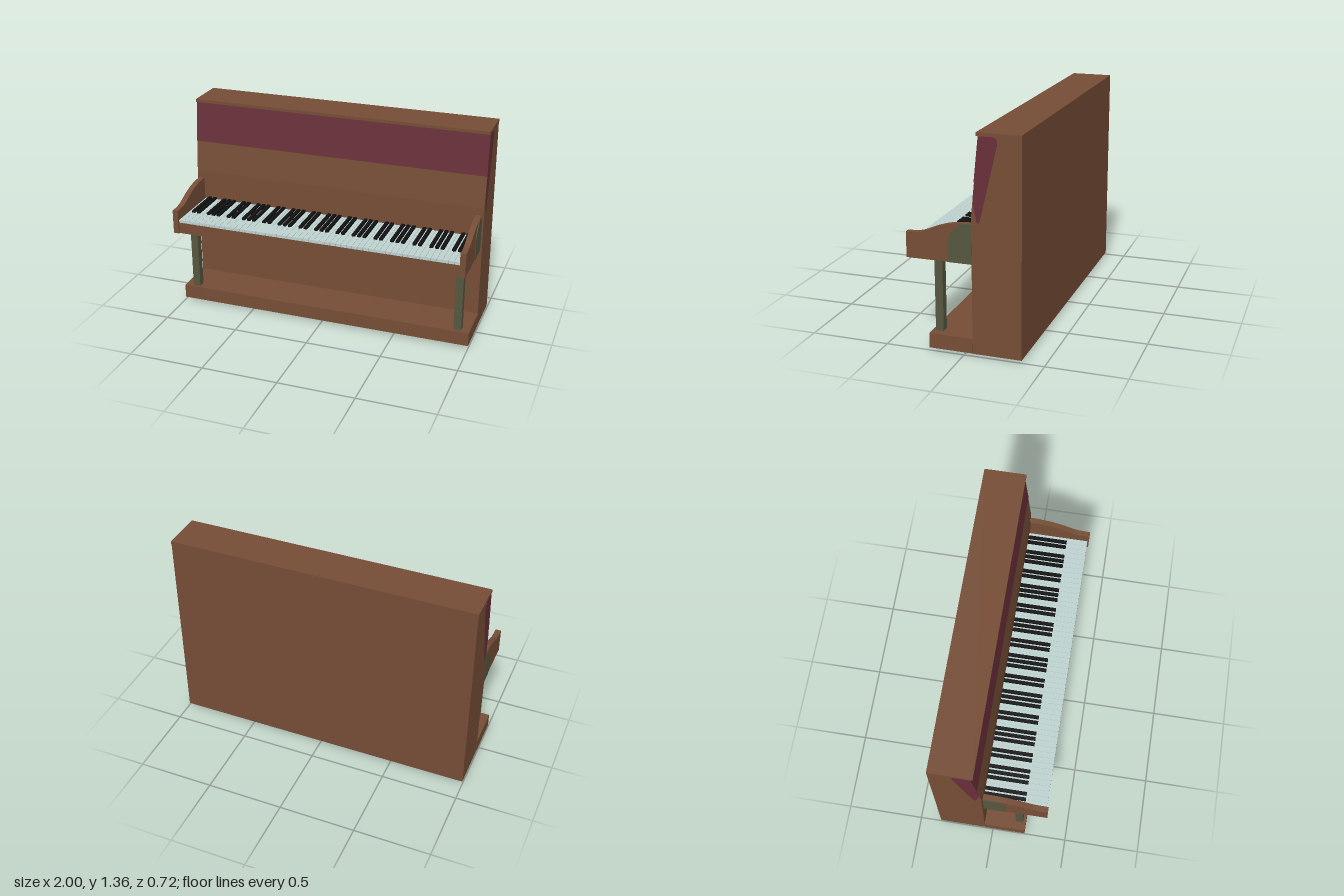
import * as THREE from 'three';

export function createModel() {
  const piano = new THREE.Group();
  piano.name = 'uprightPiano';

  const mat = (name, color) => {
    const m = new THREE.MeshStandardMaterial({ color });
    m.name = name;
    return m;
  };
  const brown = mat('brown wood', 0x754d36);
  const red = mat('dark red', 0x682e39);
  const green = mat('olive green', 0x55573f);
  const ivory = mat('pale key', 0xbdd2d0);
  const black = mat('black key', 0x111111);

  const add = (name, geometry, material, parent = piano) => {
    const mesh = new THREE.Mesh(geometry, material);
    mesh.name = name;
    parent.add(mesh);
    return mesh;
  };
  // Box given by its limits on each axis
  const box = (name, [x0, x1], [y0, y1], [z0, z1], material, parent) => {
    const mesh = add(name, new THREE.BoxGeometry(x1 - x0, y1 - y0, z1 - z0), material, parent);
    mesh.position.set((x0 + x1) / 2, (y0 + y1) / 2, (z0 + z1) / 2);
    return mesh;
  };
  // Side profile of [z, y] points, extruded across x
  const slab = (name, shape, [x0, x1], material) => {
    const geometry = new THREE.ExtrudeGeometry(shape, { depth: x1 - x0, bevelEnabled: false, curveSegments: 10 });
    geometry.rotateY(-Math.PI / 2).translate(x1, 0, 0);
    return add(name, geometry, material);
  };
  const polygon = (points) => new THREE.Shape(points.map(([z, y]) => new THREE.Vector2(z, y)));

  // Cabinet with a leaning upper front, lid and plinth
  const slopeZ = (y) => -0.055 - ((y - 0.86) / 0.48) * 0.05;
  slab('cabinet', polygon([
    [-0.36, 0.015], [-0.055, 0.015], [-0.055, 0.86], [slopeZ(1.34), 1.34], [-0.36, 1.34],
  ]), [-0.998, 0.998], brown);
  box('lid', [-1, 1], [1.34, 1.36], [-0.36, -0.09], brown);
  box('plinth', [-1, 1], [0.017, 0.11], [-0.056, 0.22], brown);

  // Dark red band on the upper front
  slab('frontBand', polygon([
    [slopeZ(1.07), 1.07], [slopeZ(1.07) + 0.003, 1.07], [slopeZ(1.34) + 0.003, 1.34], [slopeZ(1.34), 1.34],
  ]), [-1, 1], red);

  // Tapering red patch on each side of the cabinet
  const patch = new THREE.Shape();
  patch.moveTo(slopeZ(1.338), 1.338);
  patch.lineTo(-0.19, 1.338);
  patch.quadraticCurveTo(-0.222, 1.335, -0.214, 1.29);
  patch.lineTo(-0.106, 0.835);
  patch.quadraticCurveTo(-0.095, 0.82, -0.087, 0.84);
  patch.lineTo(slopeZ(0.96), 0.96);

  // Curved cheek profile beside the keys
  const cheek = new THREE.Shape();
  cheek.moveTo(-0.05, 0.57);
  cheek.lineTo(0.36, 0.57);
  cheek.lineTo(0.36, 0.73);
  cheek.bezierCurveTo(0.25, 0.73, 0.25, 0.745, 0.16, 0.78);
  cheek.bezierCurveTo(0.1, 0.8, 0.06, 0.814, -0.05, 0.814);

  const cheekPatch = new THREE.Shape();
  cheekPatch.moveTo(-0.05, 0.57);
  cheekPatch.lineTo(0.097, 0.57);
  cheekPatch.lineTo(0.097, 0.7);
  cheekPatch.bezierCurveTo(0.09, 0.755, 0.05, 0.78, 0.017, 0.809);
  cheekPatch.lineTo(-0.05, 0.813);

  for (const [side, s] of [['left', 1], ['right', -1]]) {
    const span = (a, b) => (s > 0 ? [a, b] : [-b, -a]);
    slab(`${side}SidePatch`, patch, span(0.997, 1), red);
    slab(`${side}Cheek`, cheek, span(0.948, 0.985), brown);
    slab(`${side}CheekPatch`, cheekPatch, span(0.985, 0.988), green);
    box(`${side}Leg`, span(0.895, 0.945), [0.11, 0.57], [0.15, 0.2], green);
    for (const [end, z] of [['Front', 0.165], ['Back', -0.3]]) {
      add(`${side}${end}Foot`, new THREE.CylinderGeometry(0.026, 0.026, 0.018, 20), brown)
        .position.set(s * 0.94, 0.009, z);
    }
  }

  // Key bed and keyboard: 52 white keys, black keys in twos and threes
  box('keyBed', [-0.948, 0.948], [0.57, 0.645], [-0.055, 0.35], brown);
  const keyboard = new THREE.Group();
  keyboard.name = 'keyboard';
  piano.add(keyboard);
  const count = 52, pitch = 1.894 / count;
  for (let i = 0; i < count; i++) {
    const x = -0.947 + i * pitch;
    box('whiteKey', [x + 0.001, x + pitch - 0.001], [0.645, 0.664], [-0.055, 0.35], ivory, keyboard);
    if ([1, 2, 4, 5, 6].includes(i % 7)) {
      box('blackKey', [x - 0.011, x + 0.011], [0.65, 0.678], [-0.055, 0.21], black, keyboard);
    }
  }
  return piano;
}
